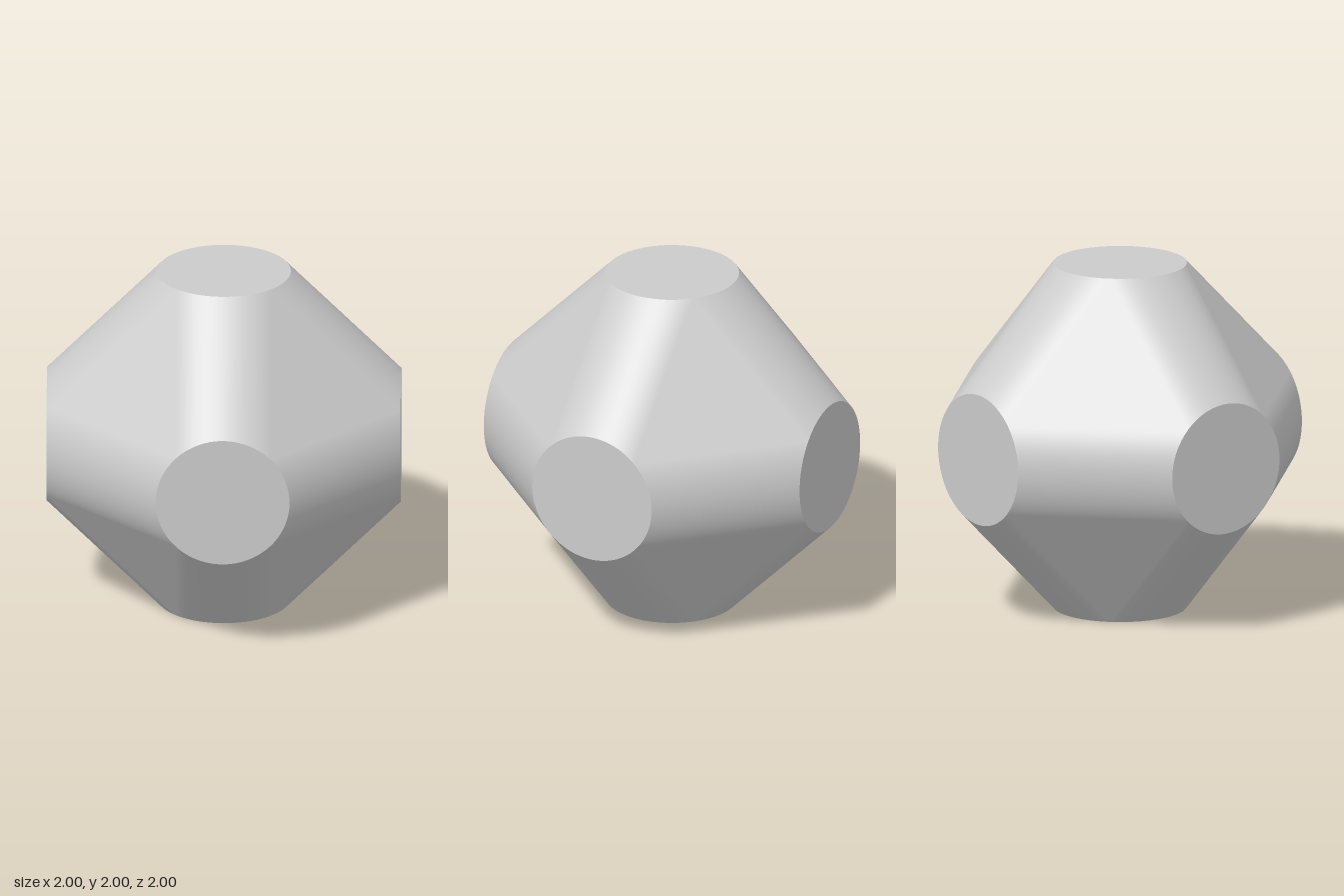
import * as THREE from 'three';

const R = 0.378;          // radius of the round end faces
const STEPS = 24;         // facets across each rounded edge
const K = R * Math.SQRT1_2;

// Rounded edge joining the discs on +x and +y: a quarter cylinder along (-1, 1, 0)
function edgeGeometry() {
  const g = new THREE.PlaneGeometry(1, 1, 1, STEPS);
  const { position, normal, uv } = g.attributes;
  for (let i = 0; i < position.count; i++) {
    const a = (uv.getY(i) - 0.5) * Math.PI / 2;
    const c = R * Math.cos(a), s = R * Math.sin(a);
    if (uv.getX(i) < 0.5) position.setXYZ(i, 1, c, s);
    else position.setXYZ(i, c, 1, s);
    const n = new THREE.Vector3(Math.cos(a), Math.cos(a), Math.sin(a)).normalize();
    normal.setXYZ(i, n.x, n.y, n.z);
  }
  return g;
}

// Flat triangle filling one octant
function cornerGeometry(sx, sy, sz) {
  const pts = [[1, K, K], [K, 1, K], [K, K, 1]]
    .map(([x, y, z]) => new THREE.Vector3(x * sx, y * sy, z * sz));
  if (sx * sy * sz < 0) pts.reverse();
  const g = new THREE.BufferGeometry().setFromPoints(pts);
  g.computeVertexNormals();
  return g;
}

export function createModel() {
  const model = new THREE.Group();
  model.name = 'roundedOctahedron';
  const body = new THREE.Group();
  body.name = 'body';
  body.position.y = 1;
  model.add(body);

  const material = new THREE.MeshStandardMaterial({ color: 0xcccccc });
  const add = (name, geometry, basis) => {
    const mesh = new THREE.Mesh(geometry, material);
    mesh.name = name;
    if (basis) mesh.quaternion.setFromRotationMatrix(basis);
    body.add(mesh);
  };
  const axes = [
    new THREE.Vector3(1, 0, 0), new THREE.Vector3(0, 1, 0), new THREE.Vector3(0, 0, 1),
  ];
  const signs = [1, -1];
  const edge = edgeGeometry();
  const disc = new THREE.CircleGeometry(R, STEPS * 4).translate(0, 0, 1);

  for (let i = 0; i < 3; i++) {
    for (const s of signs) {
      const u = axes[i].clone().multiplyScalar(s);
      const next = axes[(i + 1) % 3];
      // Six round end faces
      add('endFace', disc, new THREE.Matrix4().makeBasis(next, u.clone().cross(next), u));
      // Twelve rounded edges
      for (const t of signs) {
        const v = next.clone().multiplyScalar(t);
        add('roundedEdge', edge, new THREE.Matrix4().makeBasis(u, v, u.clone().cross(v)));
      }
    }
  }

  // Eight flat triangular faces
  for (const x of signs) for (const y of signs) for (const z of signs) {
    add('triangularFace', cornerGeometry(x, y, z));
  }
  return model;
}
